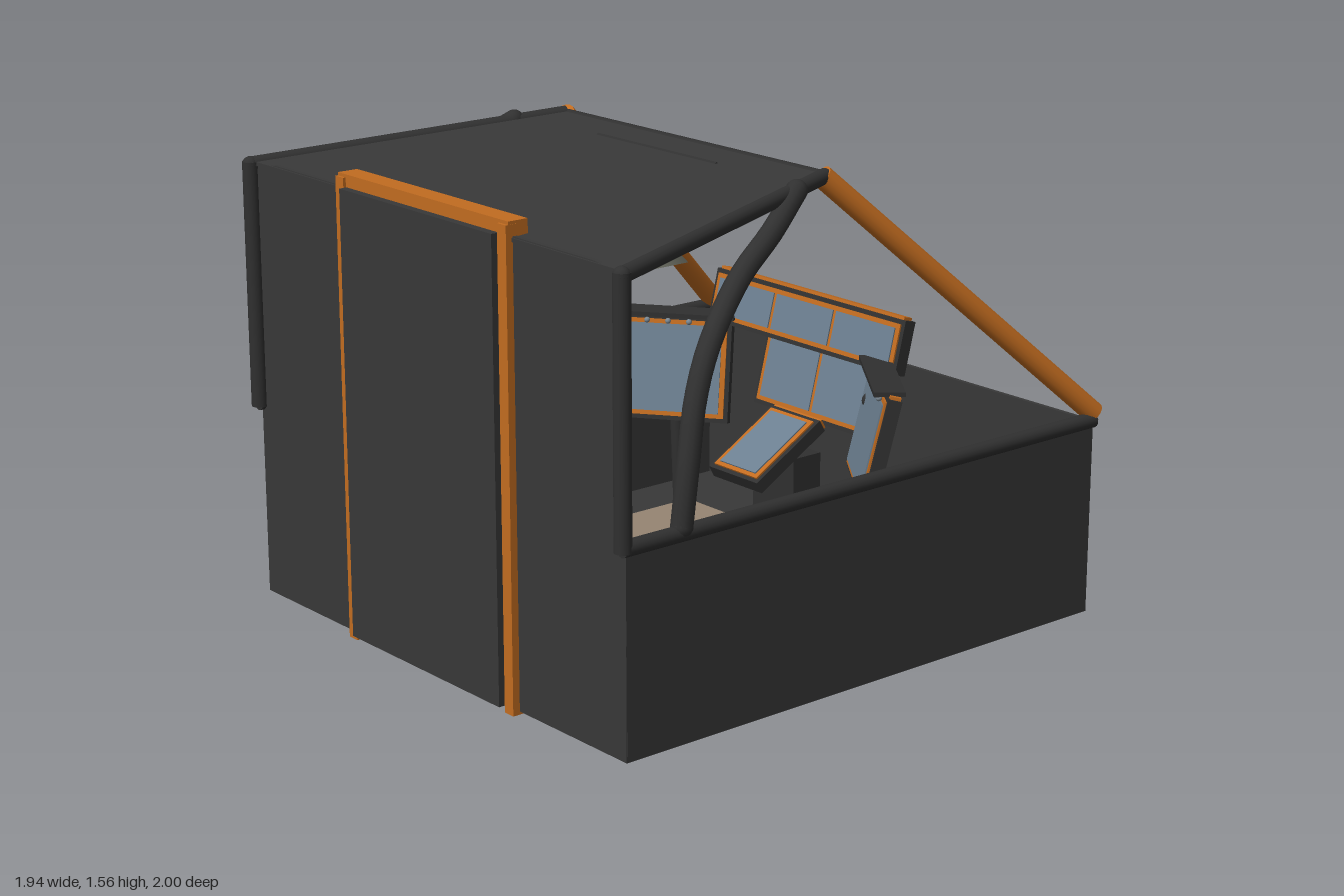
import * as THREE from 'three';
import { RoundedBoxGeometry } from 'three/addons/geometries/RoundedBoxGeometry.js';

const material = (name, color, side = THREE.FrontSide) => {
  const m = new THREE.MeshStandardMaterial({ color, side });
  m.name = name;
  return m;
};

export function createModel() {
  const hullGrey = material('hull grey', 0x383838, THREE.DoubleSide);
  const tubeBlack = material('tube black', 0x303030);
  const orange = material('orange paint', 0xc26c20);
  const glass = material('screen blue', 0x6c7f90);
  const lightGrey = material('light grey', 0xb4b1a8);
  const tan = material('tan padding', 0x968573);
  const brown = material('brown leather', 0x4f3228);
  const steel = material('steel', 0x7a8791);
  const olive = material('lamp olive', 0x74766a, THREE.DoubleSide);

  const model = new THREE.Group();
  const add = (name, geometry, mat, x = 0, y = 0, z = 0, parent = model) => {
    const mesh = new THREE.Mesh(geometry, mat);
    mesh.name = name;
    mesh.position.set(x, y, z);
    parent.add(mesh);
    return mesh;
  };
  const box = (name, mat, w, h, d, x, y, z, parent) =>
    add(name, new THREE.BoxGeometry(w, h, d), mat, x, y, z, parent);
  const ball = (name, mat, r, x, y, z, parent) =>
    add(name, new THREE.SphereGeometry(r, 16, 10), mat, x, y, z, parent);
  const rod = (name, mat, a, b, r) => {
    const p = new THREE.Vector3(...a), q = new THREE.Vector3(...b);
    const mesh = add(name, new THREE.CylinderGeometry(r, r, p.distanceTo(q), 14), mat);
    mesh.position.copy(p).add(q).multiplyScalar(0.5);
    mesh.quaternion.setFromUnitVectors(new THREE.Vector3(0, 1, 0), q.sub(p).normalize());
    return mesh;
  };

  // Open hull tub
  box('floor', hullGrey, 1.87, 0.02, 1.92, 0, 0.03, -0.007);
  box('noseWall', hullGrey, 1.87, 0.65, 0.015, 0, 0.345, -0.96);
  for (const s of [-1, 1]) box('sideWall', hullGrey, 0.015, 0.65, 1.92, s * 0.928, 0.345, -0.007);

  // Bulkhead with door opening
  const wall = new THREE.Shape([[-0.935, 0.02], [-0.39, 0.02], [-0.39, 1.46], [0.39, 1.46],
    [0.39, 0.02], [0.935, 0.02], [0.935, 1.46], [0.8, 1.475], [-0.8, 1.475], [-0.935, 1.46]]
    .map(p => new THREE.Vector2(...p)));
  add('bulkhead', new THREE.ExtrudeGeometry(wall, { depth: 0.015, bevelEnabled: false }), hullGrey, 0, 0, 0.94);
  box('door', hullGrey, 0.77, 1.45, 0.045, 0, 0.755, 0.975);

  // Sloping trapezoid roof
  const roof = new THREE.BoxGeometry(2, 0.012, 1.03);
  const rp = roof.attributes.position;
  for (let i = 0; i < rp.count; i++) {
    const t = 0.5 - rp.getZ(i) / 1.03;
    rp.setXYZ(i, rp.getX(i) * (0.935 - 0.315 * t), rp.getY(i) + 1.465 + 0.08 * t, 0.96 - 1.03 * t);
  }
  roof.computeVertexNormals();
  add('roof', roof.toNonIndexed(), hullGrey).geometry.computeVertexNormals();

  // Tubular frame, mirrored
  for (const s of [-1, 1]) {
    rod('rimTube', tubeBlack, [s * 0.935, 0.67, 0.97], [s * 0.935, 0.67, -0.965], 0.025);
    rod('rearPost', tubeBlack, [s * 0.935, 0.66, 0.965], [s * 0.935, 1.47, 0.965], 0.027);
    rod('roofTube', tubeBlack, [s * 0.935, 1.46, 0.965], [s * 0.63, 1.54, -0.07], 0.025);
    rod('canopyPillar', orange, [s * 0.625, 1.54, -0.06], [s * 0.928, 0.69, -0.975], 0.036);
    ball('roofCorner', tubeBlack, 0.027, s * 0.935, 1.46, 0.965);
    const arch = new THREE.CatmullRomCurve3([[0.935, 0.69, 0.75], [0.93, 0.88, 0.72], [0.91, 1.04, 0.68],
      [0.885, 1.18, 0.61], [0.82, 1.34, 0.44], [0.76, 1.44, 0.26], [0.69, 1.53, 0.1]]
      .map(([x, y, z]) => new THREE.Vector3(s * x, y, z)));
    add('sideArch', new THREE.TubeGeometry(arch, 24, 0.034, 12), tubeBlack);
    ball('archCap', tubeBlack, 0.034, s * 0.69, 1.53, 0.1);
    ball('archFoot', tubeBlack, 0.034, s * 0.935, 0.69, 0.75);
    // Door jambs
    box('doorJamb', orange, 0.042, 1.5, 0.045, s * 0.41, 0.76, 0.957);
  }
  rod('windscreenHeader', tubeBlack, [-0.63, 1.53, -0.07], [0.63, 1.53, -0.07], 0.025);
  box('doorLintel', orange, 0.86, 0.05, 0.07, 0, 1.495, 0.935);

  // Overhead panel hanging at the front of the roof
  const overhead = box('overheadPanel', tubeBlack, 0.58, 0.21, 0.04, 0, 1.455, 0.01);
  overhead.rotation.x = 0.75;

  // Monitors: housing, orange bezel, glass and knobs facing the seat
  const monitor = (name, w, h, x, y, z, tilt, turn, panes, knobs = 0) => {
    const g = new THREE.Group();
    g.name = name;
    g.position.set(x, y, z);
    g.rotation.set(tilt, turn, 0, 'YXZ');
    model.add(g);
    box('housing', tubeBlack, w, h, 0.045, 0, 0, 0, g);
    box('orangeTrim', orange, w * 0.97, 0.012, 0.035, 0, h / 2 + 0.004, 0, g);
    box('bezel', orange, w - 0.03, h - 0.03, 0.006, 0, 0, 0.0255, g);
    const pw = (w - 0.05) / panes;
    for (let i = 0; i < panes; i++)
      box('screen', glass, pw - 0.015, h - 0.06, 0.006, (i - (panes - 1) / 2) * pw, 0, 0.03, g);
    for (let i = 0; i < knobs; i++)
      ball('knob', steel, 0.01, (i - (knobs - 1) / 2) * w / (knobs + 1), h / 2 - 0.02, 0.04, g);
  };
  monitor('upperDisplay', 0.92, 0.18, 0, 0.87, -0.59, -0.25, 0, 3);
  monitor('lowerDisplay', 0.57, 0.28, 0, 0.65, -0.66, -0.25, 0, 2);
  monitor('deskDisplay', 0.24, 0.32, 0, 0.46, -0.41, -1.05, 0, 1);
  for (const s of [-1, 1]) {
    monitor('sideDisplay', 0.44, 0.36, s * 0.51, 0.63, -0.41, -0.22, -s * 0.65, 1, 5);
    const hood = box('sideHood', tubeBlack, 0.43, 0.015, 0.1, s * 0.51, 0.82, -0.44);
    hood.rotation.y = -s * 0.65;
    rod('displayStand', tubeBlack, [s * 0.5, 0.04, -0.46], [s * 0.5, 0.5, -0.44], 0.025);
  }
  box('deskPedestal', tubeBlack, 0.2, 0.4, 0.12, 0, 0.24, -0.5);
  ball('controlBall', tubeBlack, 0.03, 0.4, 0.7, -0.5);

  // Seat facing the displays
  box('seatBase', tubeBlack, 0.36, 0.14, 0.6, 0, 0.11, 0.25);
  add('seatCushion', new RoundedBoxGeometry(0.45, 0.09, 0.86, 2, 0.015), tan, 0, 0.22, 0.17);
  add('seatBack', new RoundedBoxGeometry(0.45, 0.54, 0.08, 2, 0.015), brown, 0, 0.46, 0.66);
  add('headPad', new RoundedBoxGeometry(0.47, 0.05, 0.09, 2, 0.02), tan, 0, 0.745, 0.66);

  // Side consoles and knobbed levers
  box('leftConsole', tubeBlack, 0.2, 0.3, 0.3, -0.72, 0.19, 0.05);
  box('rightConsole', tubeBlack, 0.1, 0.3, 0.14, 0.7, 0.19, -0.15);
  for (const [x, z] of [[-0.72, 0.45], [-0.78, 0.52]]) {
    rod('leverStem', orange, [x, 0.3, z], [x, 0.72, z], 0.01);
    ball('leverKnob', tan, 0.03, x, 0.73, z);
  }
  box('leverConsole', tubeBlack, 0.18, 0.28, 0.22, -0.76, 0.18, 0.48);

  // Orange pipes along one wall
  for (let i = 0; i < 4; i++)
    rod('wallPipe', orange, [0.8, 0.34 + i * 0.06, -0.06], [0.8, 0.34 + i * 0.06, 0.8], 0.017);
  for (const z of [0.22, 0.36]) box('pipeBracket', steel, 0.09, 0.2, 0.012, 0.86, 0.43, z);

  // Conduit with collars on the other wall
  rod('conduit', tubeBlack, [-0.885, 0.58, -0.75], [-0.885, 0.58, 0.9], 0.014);
  for (const z of [-0.57, -0.25, 0.06, 0.38]) box('conduitCollar', lightGrey, 0.04, 0.035, 0.016, -0.885, 0.58, z);

  // Vent and rivets on the bulkhead
  box('ventPanel', lightGrey, 0.3, 0.4, 0.02, 0.67, 1.01, 0.925);
  for (let i = 0; i < 6; i++) box('ventSlot', tubeBlack, 0.23, 0.025, 0.008, 0.67, 0.86 + i * 0.06, 0.913);
  for (const y of [0.2, 0.4, 0.59, 1.34]) ball('rivet', steel, 0.025, 0.66, y, 0.92);

  // Notice board and hatch panel with ring handle and lever
  box('tanBoard', tan, 0.3, 0.24, 0.015, -0.64, 1.1, 0.93);
  box('hatchPanel', brown, 0.22, 0.32, 0.02, -0.63, 0.79, 0.928);
  add('ringHandle', new THREE.TorusGeometry(0.05, 0.012, 8, 20), orange, -0.63, 0.78, 0.91);
  rod('crank', orange, [-0.63, 0.75, 0.9], [-0.63, 0.94, 0.79], 0.012);
  ball('crankKnob', tubeBlack, 0.026, -0.63, 0.95, 0.785);

  // Wash basin on a drain column
  rod('drainColumn', orange, [-0.6, 0.015, 0.82], [-0.6, 0.4, 0.82], 0.05);
  const bowl = [[0.04, 0], [0.09, 0.03], [0.115, 0.09], [0.1, 0.09], [0.07, 0.04], [0, 0.025]];
  add('basin', new THREE.LatheGeometry(bowl.map(p => new THREE.Vector2(...p)), 24), lightGrey, -0.65, 0.39, 0.82);

  // Ceiling lamp with flared rectangular shade
  const shade = new THREE.CylinderGeometry(0.09, 0.156, 0.1, 4, 1, true, Math.PI / 4);
  const lamp = add('lampShade', shade, olive, 0.33, 1.39, 0.53);
  lamp.scale.x = 2.2;
  box('lampCap', olive, 0.28, 0.01, 0.127, 0.33, 1.44, 0.53);
  box('lampTrim', orange, 0.24, 0.025, 0.1, 0.33, 1.457, 0.53);
  box('lampBulb', orange, 0.12, 0.02, 0.06, 0.33, 1.42, 0.53);

  // Equipment box clamped to one canopy pillar
  const pod = add('pillarBox', new RoundedBoxGeometry(0.14, 0.27, 0.09, 3, 0.025), lightGrey, -0.735, 1.1, -0.55);
  pod.rotation.x = 0.45;

  return model;
}
